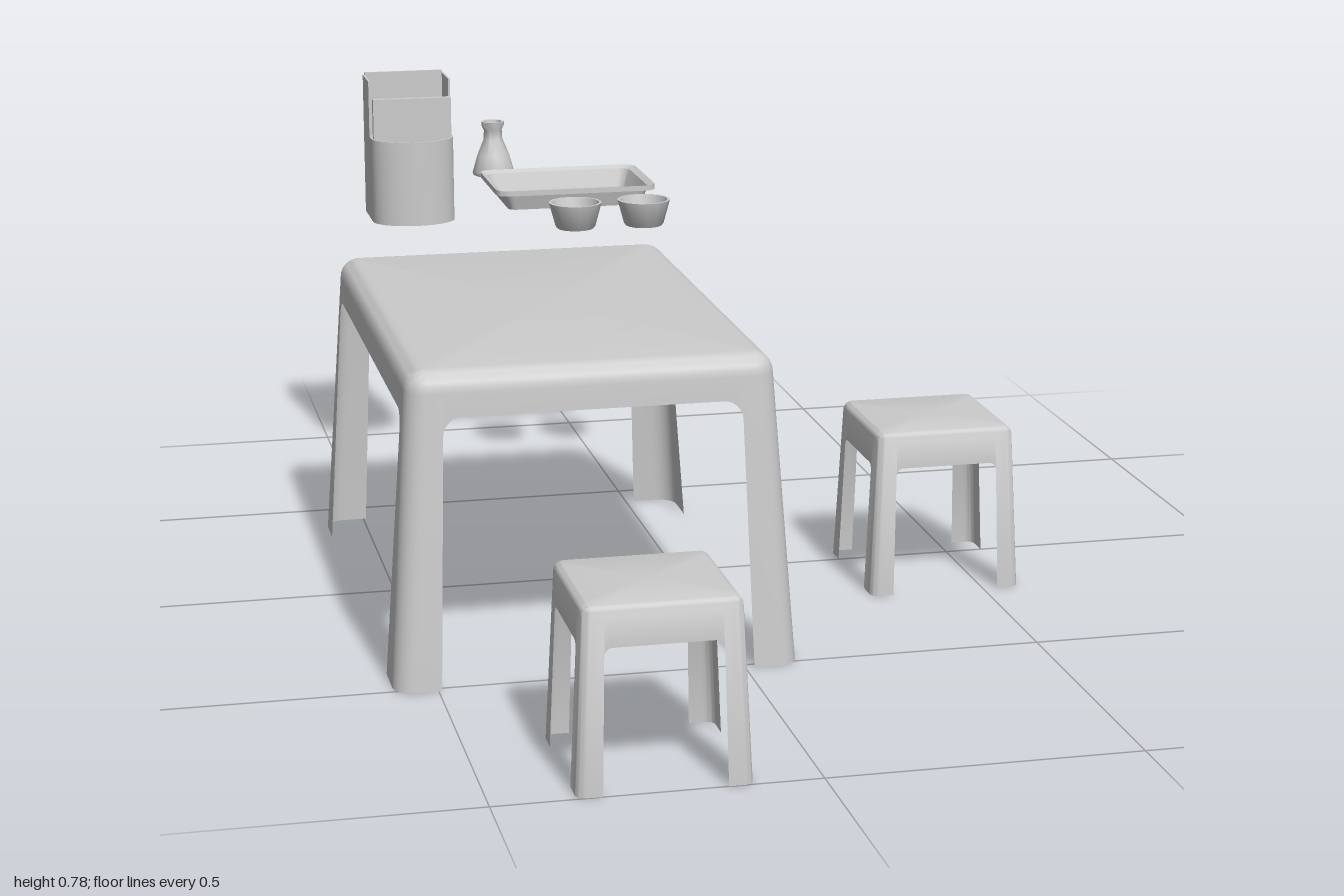
import * as THREE from 'three';
import { mergeVertices, toCreasedNormals } from 'three/addons/utils/BufferGeometryUtils.js';

const material = new THREE.MeshStandardMaterial({ color: 0xcccccc, side: THREE.DoubleSide });

function addMesh(parent, name, geometry, x = 0, y = 0, z = 0) {
  const mesh = new THREE.Mesh(geometry, material);
  mesh.name = name;
  mesh.position.set(x, y, z);
  parent.add(mesh);
  return mesh;
}

// Surface through a stack of closed rings, listed from bottom to top
function skin(rings, crease = 0.7) {
  const n = rings[0].length;
  const index = [];
  for (let i = 0; i < rings.length - 1; i++) {
    for (let j = 0; j < n; j++) {
      const a = i * n + j, b = i * n + (j + 1) % n;
      index.push(a, b, b + n, a, b + n, a + n);
    }
  }
  const geometry = new THREE.BufferGeometry().setFromPoints(rings.flat());
  geometry.setIndex(index);
  return toCreasedNormals(mergeVertices(geometry, 1e-5), crease);
}

// Moulded shell of a table or stool: rounded top, four arches, flared angled legs
function mouldedShell({ foot, top, legs, height, arch, radius, fillet }) {
  const shoulder = height - radius;
  const half = (axis, y) => THREE.MathUtils.lerp(foot[axis], top[axis], y / shoulder);
  const columns = [];
  for (let k = 0; k < 4; k++) {
    const along = k % 2, out = 1 - along;
    const angle = k * Math.PI / 2;
    const legEdge = (y) => half(along, y) - THREE.MathUtils.lerp(legs[along][0], legs[along][1], y / arch);
    const place = (s, o, y) => new THREE.Vector3(s, y, o).applyAxisAngle(new THREE.Vector3(0, 1, 0), angle);
    const straight = (sign, inset, bottom) => columns.push({
      bottom,
      at: (y, r, up) => place(sign * (legEdge(y) - inset), half(out, y) - radius + r, y + up),
    });
    // arch edge with rounded upper corners
    straight(-1, 0, 0);
    for (let i = 0; i <= 6; i++) {
      const t = i / 6 * Math.PI / 2;
      straight(-1, fillet * (1 - Math.cos(t)), arch - fillet + fillet * Math.sin(t));
    }
    for (let i = 6; i >= 0; i--) {
      const t = i / 6 * Math.PI / 2;
      straight(1, fillet * (1 - Math.cos(t)), arch - fillet + fillet * Math.sin(t));
    }
    straight(1, 0, 0);
    // rounded leg corner
    for (let i = 0; i <= 6; i++) {
      const t = i / 6 * Math.PI / 2;
      columns.push({
        bottom: 0,
        at: (y, r, up) => place(half(along, y) - radius + r * Math.sin(t),
          half(out, y) - radius + r * Math.cos(t), y + up),
      });
    }
  }
  const rings = [columns.map((c) => c.at(c.bottom, radius, 0))];
  for (let i = 0; i <= 6; i++) {
    const t = i / 6 * Math.PI / 2;
    rings.push(columns.map((c) => c.at(shoulder, radius * Math.cos(t), radius * Math.sin(t))));
  }
  rings.push(columns.map(() => new THREE.Vector3(0, height, 0)));
  return skin(rings);
}

// Rounded rectangle ring at height y
function roundedRing(hx, hz, r, y) {
  const points = [];
  for (let k = 0; k < 4; k++) {
    const sx = k === 0 || k === 3 ? 1 : -1, sz = k < 2 ? -1 : 1;
    for (let i = 0; i <= 4; i++) {
      const t = (k + i / 4) * Math.PI / 2;
      points.push(new THREE.Vector3(sx * (hx - r) + r * Math.cos(t), y, sz * (hz - r) - r * Math.sin(t)));
    }
  }
  return points;
}

function turned(profile, sides) {
  const points = profile.map(([r, y]) => new THREE.Vector2(r, y));
  return toCreasedNormals(new THREE.LatheGeometry(points, sides), 0.75);
}

// Plan outline of the holder: straight back and sides, bowed front
function holderOutline(inset) {
  const w = 0.078 - inset, back = -0.082 + inset, side = 0.025;
  const points = [new THREE.Vector2(-w, -back), new THREE.Vector2(-w, -side)];
  for (let i = 1; i <= 16; i++) {
    const t = i / 16 * Math.PI;
    points.push(new THREE.Vector2(-w * Math.cos(t), -side - (0.057 - inset) * Math.sin(t)));
  }
  points.push(new THREE.Vector2(w, -back));
  return points;
}

// Upright extrusion of a plan shape (shape y points to the back)
function upright(shape, height) {
  const geometry = new THREE.ExtrudeGeometry(shape, { depth: height, bevelEnabled: false });
  return toCreasedNormals(geometry.rotateX(-Math.PI / 2), 0.6);
}

function createHolder() {
  const holder = new THREE.Group();
  holder.name = 'holder';
  const wall = 0.004;
  const body = new THREE.Shape(holderOutline(0));
  body.holes.push(new THREE.Path(holderOutline(wall)));
  addMesh(holder, 'holderBody', upright(body, 0.16));
  addMesh(holder, 'holderFloor', upright(new THREE.Shape(holderOutline(wall)), 0.006));
  // tall back section
  addMesh(holder, 'holderBack', new THREE.BoxGeometry(0.15, 0.11, wall), 0, 0.215, -0.08);
  for (const s of [-1, 1]) {
    addMesh(holder, 'holderSide', new THREE.BoxGeometry(wall, 0.105, 0.082), s * 0.076, 0.2125, -0.041);
  }
  // divider between the front pocket and the back
  addMesh(holder, 'holderDivider', new THREE.BoxGeometry(0.148, 0.23, 0.014), 0, 0.12, 0.026);
  return holder;
}

export function createModel() {
  const model = new THREE.Group();
  model.name = 'tableSet';

  addMesh(model, 'table', mouldedShell({
    foot: [0.33, 0.472], top: [0.298, 0.438], legs: [[0.075, 0.06], [0.1, 0.052]],
    height: 0.512, arch: 0.44, radius: 0.034, fillet: 0.03,
  }), -0.24, 0, 0.043);

  // two matching stools
  const stool = mouldedShell({
    foot: [0.133, 0.132], top: [0.121, 0.12], legs: [[0.039, 0.034], [0.05, 0.04]],
    height: 0.286, arch: 0.224, radius: 0.016, fillet: 0.012,
  });
  for (const [x, z] of [[-0.239, 0.868], [0.432, 0.082]]) addMesh(model, 'stool', stool, x, 0, z);

  const holder = createHolder();
  holder.position.set(-0.359, 0.511, -0.703);
  model.add(holder);

  // tray with flared wall and turned-out lip
  const tray = [
    roundedRing(0.13, 0.092, 0.015, 0).map(() => new THREE.Vector3()),
    roundedRing(0.13, 0.092, 0.015, 0),
    roundedRing(0.143, 0.102, 0.02, 0.034),
    roundedRing(0.155, 0.111, 0.024, 0.04),
    roundedRing(0.155, 0.111, 0.024, 0.03),
  ];
  addMesh(model, 'tray', skin(tray, 0.5), -0.047, 0.525, -0.754);

  // cups and bottle
  const cup = turned([[0, 0], [0.034, 0], [0.038, 0.005], [0.05, 0.049], [0.045, 0.049],
    [0.034, 0.008], [0, 0.008]], 16);
  for (const x of [-0.077, 0.054]) addMesh(model, 'cup', cup, x, 0.517, -0.513);
  addMesh(model, 'bottle', turned([[0, 0], [0.04, 0], [0.042, 0.006], [0.032, 0.04], [0.019, 0.072],
    [0.018, 0.09], [0.023, 0.1], [0.023, 0.107], [0.017, 0.107], [0.014, 0.085], [0, 0.085]], 12),
  -0.158, 0.538, -0.958);

  return model;
}
